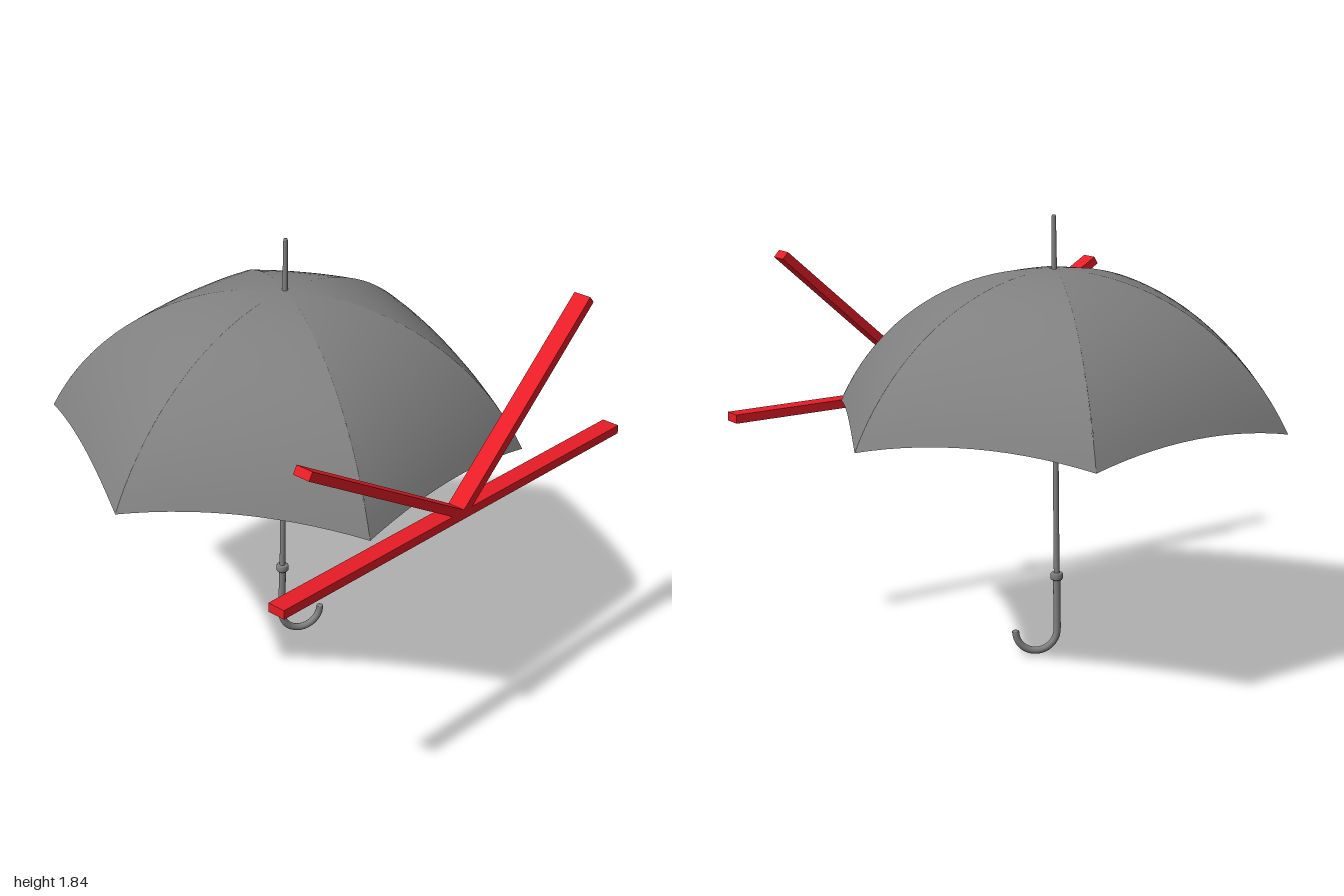
import * as THREE from 'three';

const grey = new THREE.MeshStandardMaterial({ color: 0x808080 });
const cloth = new THREE.MeshStandardMaterial({ color: 0x808080, side: THREE.DoubleSide });
const red = new THREE.MeshStandardMaterial({ color: 0xe61c26 });

const APEX = 1.62;      // canopy top
const ARC = 1.092;      // radius of the rib arc
const SPAN = 1.114;     // rib arc angle
const START = -0.052;   // yaw of the first rib
const RIBS = 6;

function add(parent, name, geometry, material) {
  const mesh = new THREE.Mesh(geometry, material);
  mesh.name = name;
  parent.add(mesh);
  return mesh;
}

// Point on rib k at arc angle phi
function ribPoint(k, phi, arc = ARC) {
  const a = START + k * Math.PI * 2 / RIBS;
  const r = arc * Math.sin(phi);
  return new THREE.Vector3(r * Math.cos(a), APEX - ARC + arc * Math.cos(phi), r * Math.sin(a));
}

// Cloth stretched between ribs k and k + 1, fuller near the top, with a scalloped lower edge
function panelGeometry(k, rows = 20, cols = 14) {
  const pos = [], index = [];
  for (let i = 0; i <= rows; i++) {
    for (let j = 0; j <= cols; j++) {
      const s = j / cols, mid = 4 * s * (1 - s), t = i / rows;
      const phi = 0.008 + (SPAN * (1 - 0.05 * mid) - 0.008) * t;
      const p = ribPoint(k, phi).lerp(ribPoint(k + 1, phi), s);
      const bulge = 1 + (0.03 + 0.04 * (1 - t)) * mid;
      pos.push(p.x * bulge, p.y, p.z * bulge);
      if (i < rows && j < cols) {
        const a = i * (cols + 1) + j, b = a + cols + 1;
        index.push(a, a + 1, b, a + 1, b + 1, b);
      }
    }
  }
  const g = new THREE.BufferGeometry();
  g.setAttribute('position', new THREE.Float32BufferAttribute(pos, 3));
  g.setIndex(index);
  g.computeVertexNormals();
  return g;
}

function createUmbrella() {
  const umbrella = new THREE.Group();
  umbrella.name = 'umbrella';

  // Canopy panels, with a rib under each seam and a stretcher up to it
  for (let k = 0; k < RIBS; k++) {
    add(umbrella, 'canopyPanel', panelGeometry(k), cloth);
    const seam = Array.from({ length: 9 }, (_, i) => ribPoint(k, 0.01 + (SPAN - 0.012) * i / 8, ARC - 0.003));
    add(umbrella, 'rib', new THREE.TubeGeometry(new THREE.CatmullRomCurve3(seam), 24, 0.0035, 6), grey);
    const strut = new THREE.LineCurve3(new THREE.Vector3(0, 1.315, 0), ribPoint(k, 0.507, ARC - 0.004));
    add(umbrella, 'stretcher', new THREE.TubeGeometry(strut, 1, 0.004, 8), grey);
  }

  // Shaft, tapering tip, runner and handle collar turned as one profile each
  const lathe = (name, points) => add(umbrella, name,
    new THREE.LatheGeometry(points.map(([r, y]) => new THREE.Vector2(r, y)), 20), grey);
  lathe('shaft', [[0.012, 0.3], [0.012, 1.0], [0.011, 1.62]]);
  lathe('tip', [[0.012, 1.6], [0.011, 1.64], [0.009, 1.832], [0.007, 1.839], [0, 1.84]]);
  lathe('runner', [[0, 1.295], [0.016, 1.295], [0.016, 1.325], [0, 1.325]]);
  lathe('collar', [[0, 0.318], [0.022, 0.318], [0.026, 0.323], [0.026, 0.343], [0.022, 0.348], [0, 0.348]]);

  // Hooked handle
  const R = 0.088, yaw = 0.44;
  const hook = [new THREE.Vector3(0, 0.33, 0), new THREE.Vector3(0, 0.25, 0), new THREE.Vector3(0, 0.16, 0)];
  for (let i = 0; i <= 10; i++) {
    const a = Math.PI * i / 10, d = R * (1 - Math.cos(a));
    hook.push(new THREE.Vector3(d * Math.cos(yaw), 0.103 - R * Math.sin(a), d * Math.sin(yaw)));
  }
  const handle = new THREE.CatmullRomCurve3(hook);
  add(umbrella, 'handle', new THREE.TubeGeometry(handle, 60, 0.015, 14), grey);
  const cap = add(umbrella, 'handleEnd', new THREE.SphereGeometry(0.015, 14, 8), grey);
  cap.scale.y = 0.4;
  cap.position.copy(hook[hook.length - 1]);

  // Slight lean
  umbrella.position.set(0.003, 0, -0.055);
  umbrella.rotation.set(0.012, 0, -0.002);
  return umbrella;
}

// Square bars fanning out from one point in front of the canopy
function createAngleBars() {
  const bars = new THREE.Group();
  bars.name = 'angleBars';
  bars.position.set(0, 0.967, 0.883);
  const bar = (name, from, to, degrees) => {
    const g = new THREE.BoxGeometry(to - from, 0.037, 0.077);
    g.translate((from + to) / 2, 0, 0);
    add(bars, name, g, red).rotation.z = THREE.MathUtils.degToRad(degrees);
  };
  bar('baseBar', -1, 1, 0);
  bar('rightBar', 0, 1, 149.8);
  bar('leftBar', 0, 1, 41.6);
  return bars;
}

export function createModel() {
  const model = new THREE.Group();
  model.name = 'umbrellaWithAngleBars';
  model.add(createUmbrella(), createAngleBars());
  return model;
}
